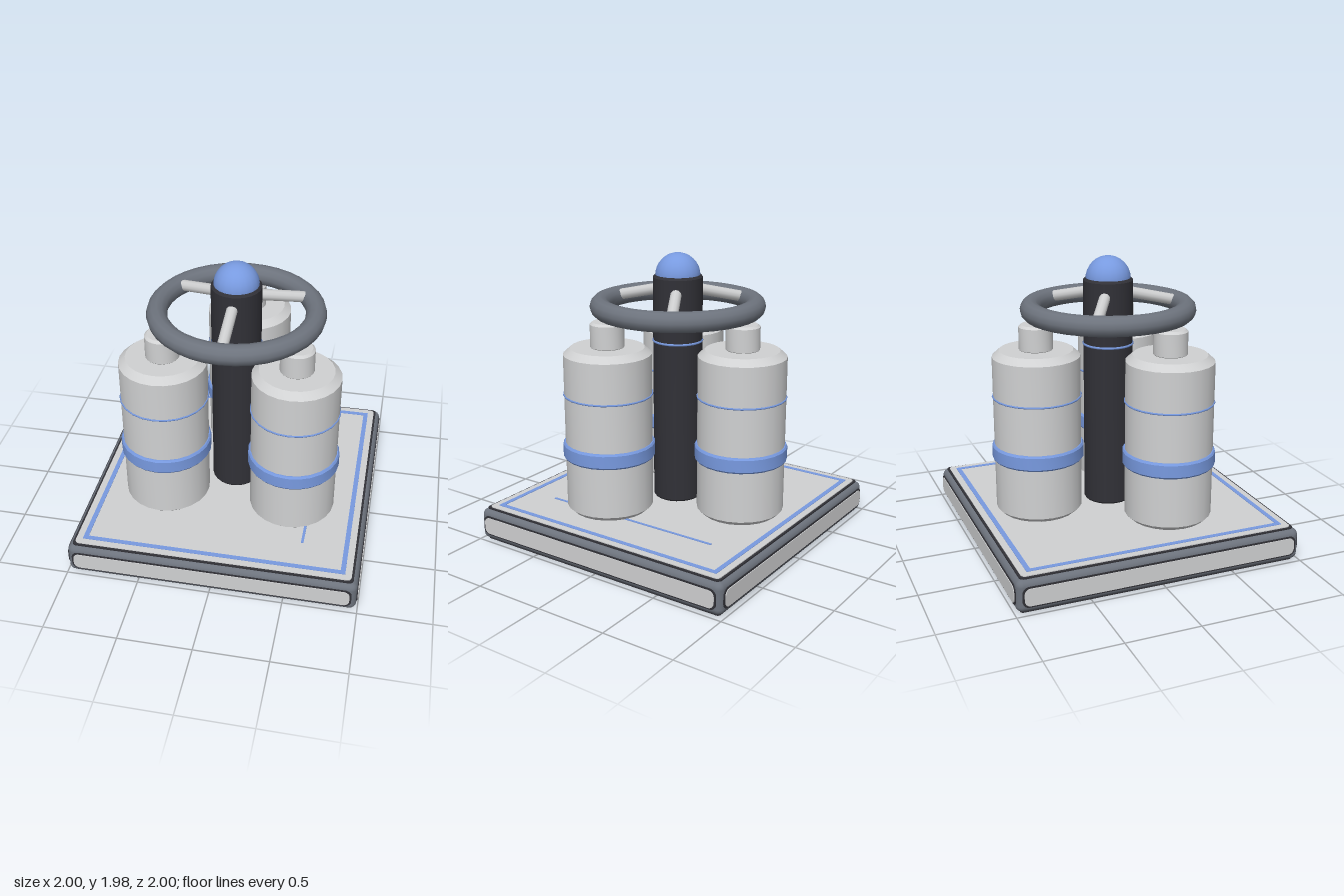
import * as THREE from 'three';
import { toCreasedNormals } from 'three/addons/utils/BufferGeometryUtils.js';
import { RoundedBoxGeometry } from 'three/addons/geometries/RoundedBoxGeometry.js';

const mat = (name, color) => {
  const m = new THREE.MeshStandardMaterial({ color });
  m.name = name;
  return m;
};

export function createModel() {
  const light = mat('light grey', 0xd0d1d2);
  const steel = mat('steel grey', 0x6d737d);
  const dark = mat('near black', 0x313137);
  const blue = mat('blue', 0x789ae0);

  const model = new THREE.Group();
  model.name = 'valveStation';

  const add = (parent, name, geometry, material, x = 0, y = 0, z = 0) => {
    const mesh = new THREE.Mesh(geometry, material);
    mesh.name = name;
    mesh.position.set(x, y, z);
    parent.add(mesh);
    return mesh;
  };
  // Turned solid from [radius, height] pairs, with sharp chamfers
  const turned = (pairs, segments = 24) => toCreasedNormals(
    new THREE.LatheGeometry(pairs.map(([r, y]) => new THREE.Vector2(r, y)), segments), 0.5);
  const ring = (radius, tube, sides, segments) =>
    new THREE.TorusGeometry(radius, tube, sides, segments).rotateX(Math.PI / 2);
  // Rounded rectangle outline, in the xy plane
  const roundRect = (w, h, r, Type = THREE.Shape) => {
    const s = new Type();
    const x = w / 2, y = h / 2;
    s.moveTo(-x + r, -y);
    s.lineTo(x - r, -y).absarc(x - r, -y + r, r, -Math.PI / 2, 0);
    s.lineTo(x, y - r).absarc(x - r, y - r, r, 0, Math.PI / 2);
    s.lineTo(-x + r, y).absarc(-x + r, y - r, r, Math.PI / 2, Math.PI);
    s.lineTo(-x, -y + r).absarc(-x + r, -y + r, r, Math.PI, Math.PI * 1.5);
    return s;
  };
  const plate = (shape, depth) =>
    new THREE.ExtrudeGeometry(shape, { depth, bevelEnabled: false, curveSegments: 5 });

  // Base slab with inset panels on every side
  const base = new THREE.Group();
  base.name = 'base';
  model.add(base);
  add(base, 'baseFrame', new RoundedBoxGeometry(1.98, 0.22, 1.98, 4, 0.045), steel, 0, 0.12, 0);
  for (let i = 0; i < 4; i++) {
    const side = new THREE.Group();
    side.name = 'sidePanel' + (i + 1);
    side.rotation.y = i * Math.PI / 2;
    base.add(side);
    add(side, 'panelTrim', plate(roundRect(1.915, 0.14, 0.045), 0.009), dark, 0, 0.12, 0.986);
    add(side, 'panelFace', plate(roundRect(1.89, 0.118, 0.04), 0.009), light, 0, 0.12, 0.991);
  }
  const flat = (name, shape, depth, material, y) =>
    add(base, name, plate(shape, depth).rotateX(-Math.PI / 2), material, 0, y, 0);
  flat('deckTrim', roundRect(1.92, 1.92, 0.03), 0.009, dark, 0.228);
  flat('deck', roundRect(1.89, 1.89, 0.03), 0.009, light, 0.234);
  flat('undersideTrim', roundRect(1.92, 1.92, 0.02), 0.009, dark, 0.003);
  flat('underside', roundRect(1.91, 1.91, 0.01), 0.006, light, 0);

  // Painted lines on the deck
  const border = roundRect(1.8, 1.8, 0.004);
  border.holes.push(roundRect(1.735, 1.735, 0.004, THREE.Path));
  flat('deckBorder', border, 0.005, blue, 0.241);
  add(base, 'deckLine', new THREE.BoxGeometry(0.018, 0.006, 1.32), blue, 0.582, 0.244, 0);

  // Central column with its dome
  const column = new THREE.Group();
  column.name = 'column';
  model.add(column);
  add(column, 'columnPost', turned([
    [0, 0.235], [0.155, 0.235], [0.17, 0.255], [0.17, 1.82], [0.157, 1.835], [0, 1.835],
  ]), dark);
  add(column, 'columnRing', ring(0.168, 0.009, 6, 24), blue, 0, 1.382, 0);
  add(column, 'dome',
    new THREE.SphereGeometry(0.153, 20, 8, 0, Math.PI * 2, 0, Math.PI / 2), blue, 0, 1.83, 0);

  // Handwheel with three sloping spokes
  const wheel = new THREE.Group();
  wheel.name = 'handwheel';
  model.add(wheel);
  add(wheel, 'wheelRim', ring(0.53, 0.07, 12, 36), steel, 0, 1.625, 0);
  const up = new THREE.Vector3(0, 1, 0);
  for (let i = 0; i < 3; i++) {
    const a = i * Math.PI * 2 / 3;
    const from = new THREE.Vector3(Math.sin(a) * 0.05, 1.75, Math.cos(a) * 0.05);
    const to = new THREE.Vector3(Math.sin(a) * 0.5, 1.64, Math.cos(a) * 0.5);
    const dir = to.clone().sub(from);
    const mid = from.clone().add(to).multiplyScalar(0.5);
    const spoke = add(wheel, 'spoke' + (i + 1),
      new THREE.CylinderGeometry(0.038, 0.038, dir.length(), 12), light, mid.x, mid.y, mid.z);
    spoke.quaternion.setFromUnitVectors(up, dir.normalize());
  }

  // Three banded canisters around the column
  const body = turned([
    [0, 0.243], [0.265, 0.243], [0.298, 0.275], [0.298, 1.345], [0.25, 1.388], [0, 1.388],
  ]);
  const neck = turned([
    [0, 1.38], [0.105, 1.38], [0.115, 1.392], [0.115, 1.545], [0.098, 1.56], [0, 1.56],
  ]);
  const band = turned([
    [0.29, 0.625], [0.306, 0.625], [0.315, 0.637], [0.315, 0.72], [0.306, 0.733], [0.29, 0.733],
  ]);
  const stripe = ring(0.299, 0.007, 6, 24);
  for (let i = 0; i < 3; i++) {
    const a = Math.PI / 3 + i * Math.PI * 2 / 3;
    const canister = new THREE.Group();
    canister.name = 'canister' + (i + 1);
    canister.position.set(Math.sin(a) * 0.52, 0, Math.cos(a) * 0.52);
    model.add(canister);
    add(canister, 'canisterBody', body, light);
    add(canister, 'canisterNeck', neck, light);
    add(canister, 'canisterBand', band, blue);
    add(canister, 'canisterStripe', stripe, blue, 0, 1.067, 0);
  }

  return model;
}
